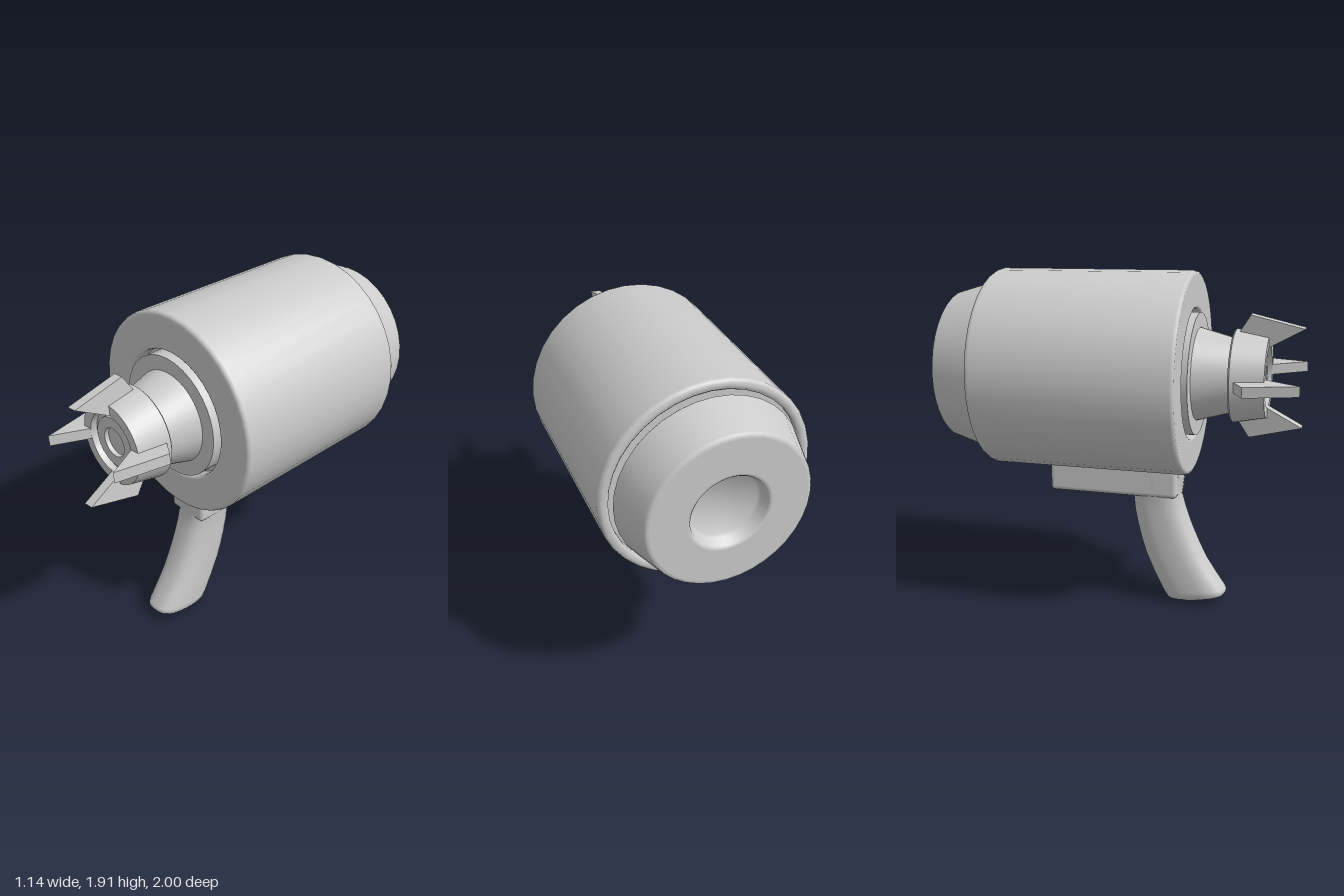
import * as THREE from 'three';
import { toCreasedNormals } from 'three/addons/utils/BufferGeometryUtils.js';
import { RoundedBoxGeometry } from 'three/addons/geometries/RoundedBoxGeometry.js';

const AXIS_Y = 1.345;
const material = new THREE.MeshStandardMaterial({ color: 0xcccccc });

function part(name, geometry, parent) {
  const mesh = new THREE.Mesh(geometry, material);
  mesh.name = name;
  parent.add(mesh);
  return mesh;
}

// Turned part about the z axis, from [radius, z] points running back to front
function turned(points, segments = 36) {
  const profile = points.map(([r, z]) => new THREE.Vector2(r, z));
  const geometry = new THREE.LatheGeometry(profile, segments).rotateX(Math.PI / 2);
  return toCreasedNormals(geometry, 0.8);
}

// Grip lofted downwards through rounded sections: [zFront, yFront, zBack, yBack, halfWidth]
function gripGeometry(sections, sides = 32) {
  const positions = [], index = [];
  const soft = (v) => Math.sign(v) * Math.abs(v) ** 0.75;
  sections.forEach(([zf, yf, zb, yb, w], i) => {
    for (let j = 0; j < sides; j++) {
      const a = (j / sides) * Math.PI * 2;
      const t = (soft(Math.cos(a)) + 1) / 2;
      positions.push(soft(Math.sin(a)) * w, yb + (yf - yb) * t, zb + (zf - zb) * t);
      if (i === sections.length - 1) continue;
      const k = (j + 1) % sides;
      const p = i * sides + j, q = i * sides + k;
      index.push(p, p + sides, q, q, p + sides, q + sides);
    }
  });
  const geometry = new THREE.BufferGeometry();
  geometry.setAttribute('position', new THREE.Float32BufferAttribute(positions, 3));
  geometry.setIndex(index);
  geometry.computeVertexNormals();
  return geometry;
}

// Fin drawn in the radius / z plane, then given thickness
function finGeometry(thickness = 0.058) {
  const shape = new THREE.Shape([
    [0.17, 0.81], [0.275, 1.0], [0.345, 0.71], [0.25, 0.65], [0.17, 0.7],
  ].map(([r, z]) => new THREE.Vector2(r, z)));
  return new THREE.ExtrudeGeometry(shape, { depth: thickness, bevelEnabled: false })
    .translate(0, 0, -thickness / 2)
    .rotateX(Math.PI / 2);
}

export function createModel() {
  const model = new THREE.Group();
  model.name = 'handheldBlaster';

  const barrel = new THREE.Group();
  barrel.name = 'barrelAssembly';
  barrel.position.y = AXIS_Y;
  model.add(barrel);

  // Main drum with softened rims and a shallow socket at each end
  part('drum', turned([
    [0, -0.71], [0.515, -0.71], [0.515, -0.735], [0.525, -0.745], [0.545, -0.745],
    [0.552, -0.744], [0.564, -0.738], [0.57, -0.725], [0.57, -0.715],
    [0.57, 0.37], [0.57, 0.38], [0.564, 0.394], [0.552, 0.4], [0.54, 0.4],
    [0.385, 0.4], [0.375, 0.4], [0.367, 0.396], [0.363, 0.385], [0.363, 0.32], [0, 0.32],
  ]), barrel);

  // Rear cap: tapered, with a round recess in its back face
  part('rearCap', turned([
    [0, -0.93], [0.175, -0.93], [0.19, -0.945], [0.205, -0.992], [0.213, -1], [0.225, -1],
    [0.41, -1], [0.425, -1], [0.433, -0.992], [0.437, -0.98],
    [0.497, -0.775], [0.5, -0.762], [0.495, -0.755], [0, -0.755],
  ]), barrel);
  part('rearConnector', turned([[0.28, -0.76], [0.28, -0.7]]), barrel);

  // Nose: flange, tapered neck, flared collar and stepped muzzle
  part('nose', turned([
    [0, 0.3], [0.343, 0.3], [0.343, 0.425], [0.26, 0.425], [0.207, 0.62],
    [0.25, 0.62], [0.26, 0.63], [0.226, 0.81], [0.17, 0.81], [0.165, 0.775],
    [0.14, 0.775], [0.14, 0.79], [0.08, 0.79], [0.08, 0.765], [0, 0.765],
  ]), barrel);

  // Four flared fins around the muzzle, turned slightly off the axes
  const fin = finGeometry();
  for (let i = 0; i < 4; i++) {
    part(`muzzleFin${i + 1}`, fin, barrel).rotation.z = (i * Math.PI) / 2 + 0.095;
  }

  // Mounting block under the drum
  part('gripMount', new RoundedBoxGeometry(0.255, 0.2, 0.755, 4, 0.025), model)
    .position.set(0, 0.74, -0.0475);

  // Curved grip
  part('grip', gripGeometry([
    [0.355, 0.82, 0.03, 0.82, 0.128],
    [0.35, 0.76, 0.03, 0.76, 0.128],
    [0.342, 0.69, 0.035, 0.69, 0.128],
    [0.335, 0.635, 0.056, 0.635, 0.118],
    [0.36, 0.55, 0.065, 0.54, 0.115],
    [0.4, 0.44, 0.083, 0.45, 0.115],
    [0.445, 0.34, 0.105, 0.365, 0.115],
    [0.49, 0.25, 0.13, 0.285, 0.115],
    [0.55, 0.16, 0.175, 0.18, 0.115],
    [0.6, 0.09, 0.23, 0.07, 0.115],
    [0.609, 0.07, 0.25, 0.035, 0.112],
    [0.598, 0.052, 0.265, 0.012, 0.1],
    [0.57, 0.037, 0.295, 0.002, 0.08],
    [0.43, 0.018, 0.43, 0.018, 0],
  ]), model);

  return model;
}
